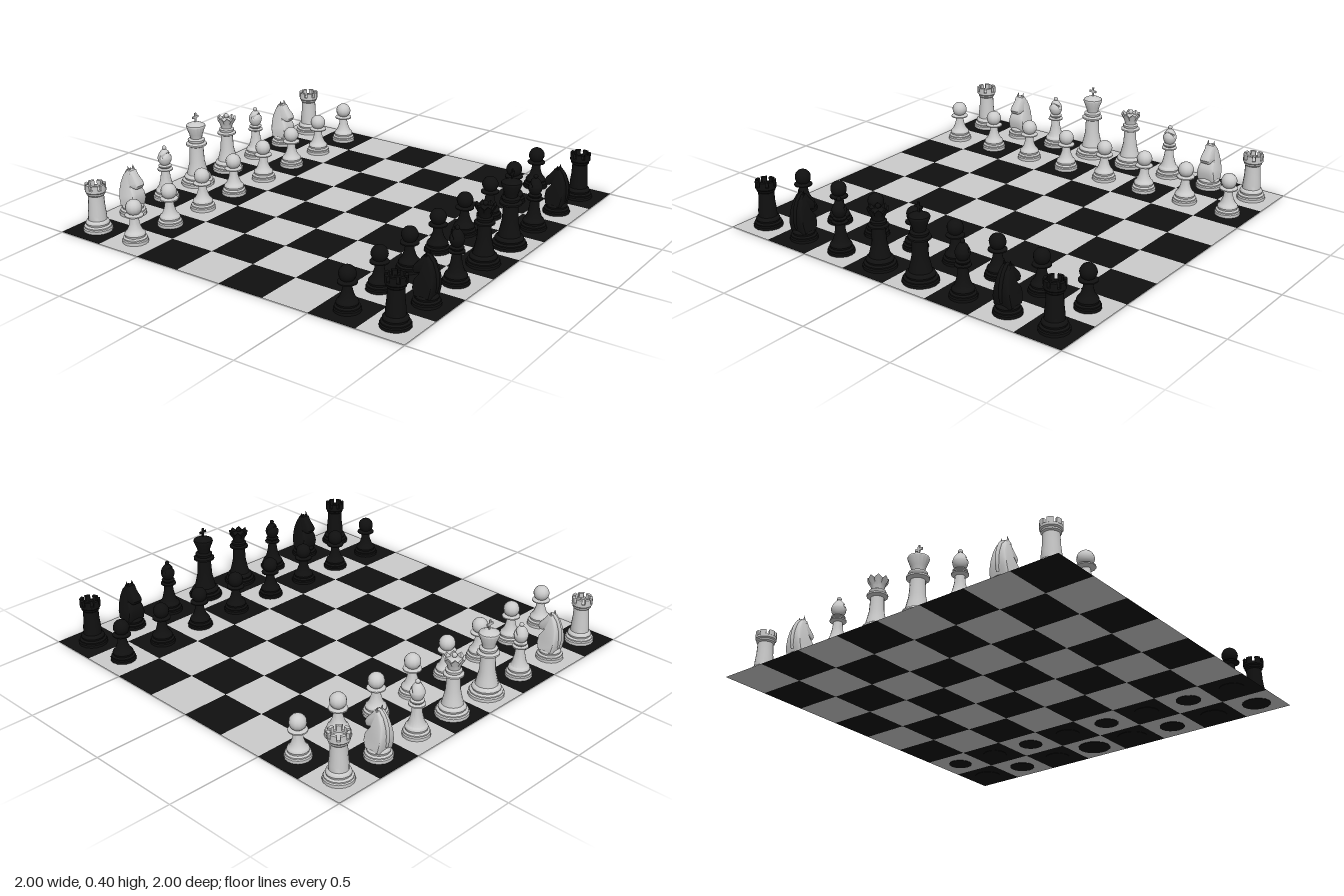
import * as THREE from 'three';
import { toCreasedNormals } from 'three/addons/utils/BufferGeometryUtils.js';

const LIGHT = new THREE.MeshStandardMaterial({ color: 0xcccccc });
const DARK = new THREE.MeshStandardMaterial({ color: 0x101010 });
const SIDES = 16;
const SQUARE = 0.25;
const BOARD_Y = 0.002;

// Turned solid from [radius, height] pairs, bottom to top
function turned(points, sides = SIDES) {
  const profile = points.map(([r, y]) => new THREE.Vector2(r, y));
  return toCreasedNormals(new THREE.LatheGeometry(profile, sides), 0.6);
}

// Move every vertex by a rule
function reshape(geometry, rule) {
  const pos = geometry.attributes.position;
  const v = new THREE.Vector3();
  for (let i = 0; i < pos.count; i++) {
    rule(v.fromBufferAttribute(pos, i));
    pos.setXYZ(i, v.x, v.y, v.z);
  }
  geometry.computeVertexNormals();
  return geometry;
}

// Stepped foot shared by all pieces, scaled by its radius
function foot(r) {
  return [[0, 0], [r, 0], [r, 0.015], [r * 0.93, 0.02], [r * 0.93, 0.026],
    [r * 0.78, 0.032], [r * 0.82, 0.042], [r * 0.76, 0.052], [r * 0.64, 0.058]];
}

function ball(radius, y, squash = 1) {
  return new THREE.SphereGeometry(radius, 12, 10).scale(1, squash, 1).translate(0, y, 0);
}

function pawnParts() {
  return {
    body: turned([...foot(0.064), [0.032, 0.075], [0.024, 0.1], [0.021, 0.128],
      [0.046, 0.135], [0.046, 0.141], [0.022, 0.149], [0, 0.15]]),
    head: ball(0.041, 0.178),
  };
}

function rookParts() {
  const parts = {
    body: turned([...foot(0.073), [0.046, 0.085], [0.041, 0.13], [0.039, 0.185],
      [0.046, 0.192], [0.046, 0.2], [0.052, 0.207], [0.052, 0.22], [0.036, 0.22], [0.036, 0.212], [0, 0.212]]),
  };
  // Battlements: curved blocks around the rim
  const count = 7;
  const step = (Math.PI * 2) / count;
  for (let i = 0; i < count; i++) {
    const a = i * step, b = a + step * 0.66;
    const shape = new THREE.Shape();
    shape.absarc(0, 0, 0.052, a, b, false);
    shape.absarc(0, 0, 0.037, b, a, true);
    parts['battlement' + (i + 1)] = new THREE.ExtrudeGeometry(shape, { depth: 0.027, bevelEnabled: false, curveSegments: 3 })
      .rotateX(-Math.PI / 2).translate(0, 0.218, 0);
  }
  return parts;
}

function knightParts() {
  // Side outline: x runs forward, y up
  const outline = [[-0.036, 0.05], [-0.045, 0.09], [-0.046, 0.13], [-0.04, 0.17], [-0.026, 0.208],
    [-0.006, 0.231], [0.012, 0.23], [0.026, 0.21], [0.052, 0.18], [0.057, 0.165], [0.05, 0.153],
    [0.038, 0.153], [0.016, 0.165], [0.02, 0.15], [0.042, 0.118], [0.045, 0.085], [0.036, 0.05]];
  const shape = new THREE.Shape(outline.map(([z, y]) => new THREE.Vector2(z, y)));
  const bust = new THREE.ExtrudeGeometry(shape, { depth: 0.04, bevelSize: 0.007, bevelThickness: 0.02, bevelSegments: 3 })
    .translate(0, 0, -0.02).rotateY(-Math.PI / 2);
  // Broad chest, slim head and muzzle
  reshape(bust, (v) => {
    v.x *= THREE.MathUtils.clamp(1.25 - (v.y - 0.08) * 4.2, 0.62, 1.25);
    if (v.z > 0.025 && v.y > 0.14) v.x *= 0.78;
  });
  const parts = {
    foot: turned([...foot(0.069), [0.044, 0.064], [0, 0.064]]),
    bust: toCreasedNormals(bust, 0.7),
    // Ridge down the back of the neck
    mane: new THREE.TubeGeometry(new THREE.CatmullRomCurve3([
      [-0.044, 0.07], [-0.053, 0.12], [-0.044, 0.18], [-0.018, 0.228], [0.006, 0.238],
    ].map(([z, y]) => new THREE.Vector3(0, y, z))), 16, 0.01, 6),
  };
  for (const [side, name] of [[1, 'leftEar'], [-1, 'rightEar']]) {
    parts[name] = new THREE.ConeGeometry(0.011, 0.042, 6).rotateX(-0.15).translate(side * 0.017, 0.24, 0);
  }
  return parts;
}

function bishopParts() {
  // Pointed head with a slanted slit at the front
  const head = reshape(new THREE.SphereGeometry(0.036, 28, 36), (v) => {
    const slit = v.z > 0.006 && Math.abs(v.y - 0.7 * v.z) < 0.004;
    const k = slit ? 0.65 : 1 - Math.max(0, v.y) * 7;
    v.set(v.x * k, v.y * 1.3, v.z * k);
  });
  return {
    body: turned([...foot(0.067), [0.034, 0.08], [0.026, 0.115], [0.022, 0.15], [0.04, 0.157], [0.04, 0.163],
      [0.026, 0.168], [0.034, 0.176], [0.034, 0.181], [0.022, 0.187], [0, 0.187]]),
    head: head.translate(0, 0.224, 0),
    finial: ball(0.0115, 0.276),
  };
}

function queenParts() {
  // Flared crown, alternate rim points raised
  const crown = reshape(new THREE.LatheGeometry([[0, 0.24], [0.029, 0.24], [0.034, 0.262], [0.051, 0.294], [0.043, 0.294],
    [0.034, 0.286], [0, 0.3]].map(([r, y]) => new THREE.Vector2(r, y)), SIDES), (v) => {
    const slot = Math.round(Math.atan2(v.x, v.z) / (Math.PI * 2 / SIDES));
    if (Math.hypot(v.x, v.z) > 0.04) v.y += slot % 2 === 0 ? 0.012 : -0.006;
  });
  return {
    body: turned([...foot(0.083), [0.046, 0.085], [0.036, 0.13], [0.032, 0.2], [0.05, 0.208], [0.05, 0.216],
      [0.036, 0.222], [0.04, 0.23], [0.04, 0.236], [0.028, 0.243], [0, 0.243]]),
    crown: toCreasedNormals(crown, 0.5),
    finial: ball(0.013, 0.309),
  };
}

function kingParts() {
  // Upright cross
  const t = 0.006, w = 0.022, lo = 0.338, hi = 0.395, mid = 0.373;
  const cross = new THREE.Shape([[-t, lo], [t, lo], [t, mid - t], [w, mid - t], [w, mid + t], [t, mid + t],
    [t, hi], [-t, hi], [-t, mid + t], [-w, mid + t], [-w, mid - t], [-t, mid - t]].map(([x, y]) => new THREE.Vector2(x, y)));
  return {
    body: turned([...foot(0.088), [0.05, 0.085], [0.04, 0.13], [0.036, 0.21], [0.055, 0.219], [0.055, 0.228],
      [0.04, 0.235], [0.045, 0.243], [0.045, 0.25], [0.03, 0.257], [0, 0.257]]),
    crown: turned([[0, 0.255], [0.03, 0.255], [0.036, 0.28], [0.052, 0.322], [0.05, 0.33], [0.034, 0.338],
      [0.016, 0.346], [0, 0.348]]),
    cross: new THREE.ExtrudeGeometry(cross, { depth: 0.005, bevelEnabled: false }).translate(0, 0, -0.0025),
  };
}

// Flat squares, dark in the far left corner
function makeBoard() {
  const board = new THREE.Group();
  board.name = 'board';
  const dark = DARK.clone(), light = LIGHT.clone();
  dark.side = light.side = THREE.DoubleSide;
  const tile = new THREE.PlaneGeometry(SQUARE, SQUARE).rotateX(-Math.PI / 2);
  for (let row = 0; row < 8; row++) {
    for (let col = 0; col < 8; col++) {
      const isDark = (row + col) % 2 === 0;
      const square = new THREE.Mesh(tile, isDark ? dark : light);
      square.name = isDark ? 'darkSquare' : 'lightSquare';
      square.position.set((col - 3.5) * SQUARE, BOARD_Y, (row - 3.5) * SQUARE);
      board.add(square);
    }
  }
  return board;
}

export function createModel() {
  const model = new THREE.Group();
  model.name = 'chessSet';
  model.add(makeBoard());

  const kinds = { pawn: pawnParts(), rook: rookParts(), knight: knightParts(),
    bishop: bishopParts(), queen: queenParts(), king: kingParts() };

  function place(kind, isDark, col, row) {
    const piece = new THREE.Group();
    piece.name = (isDark ? 'dark' : 'light') + kind[0].toUpperCase() + kind.slice(1);
    for (const [name, geometry] of Object.entries(kinds[kind])) {
      const mesh = new THREE.Mesh(geometry, isDark ? DARK : LIGHT);
      mesh.name = name;
      piece.add(mesh);
    }
    // Dark feet reach just through the board; each side faces the middle
    piece.position.set((col - 3.5) * SQUARE, isDark ? 0 : BOARD_Y + 0.001, (row - 3.5) * SQUARE);
    if (isDark) piece.rotation.y = Math.PI;
    model.add(piece);
  }

  const backRow = ['rook', 'knight', 'bishop', 'king', 'queen', 'bishop', 'knight', 'rook'];
  backRow.forEach((kind, i) => {
    place(kind, false, i, 0);
    place('pawn', false, i, 1);
    place('pawn', true, i, 6);
    place(kind, true, 7 - i, 7);
  });
  return model;
}
